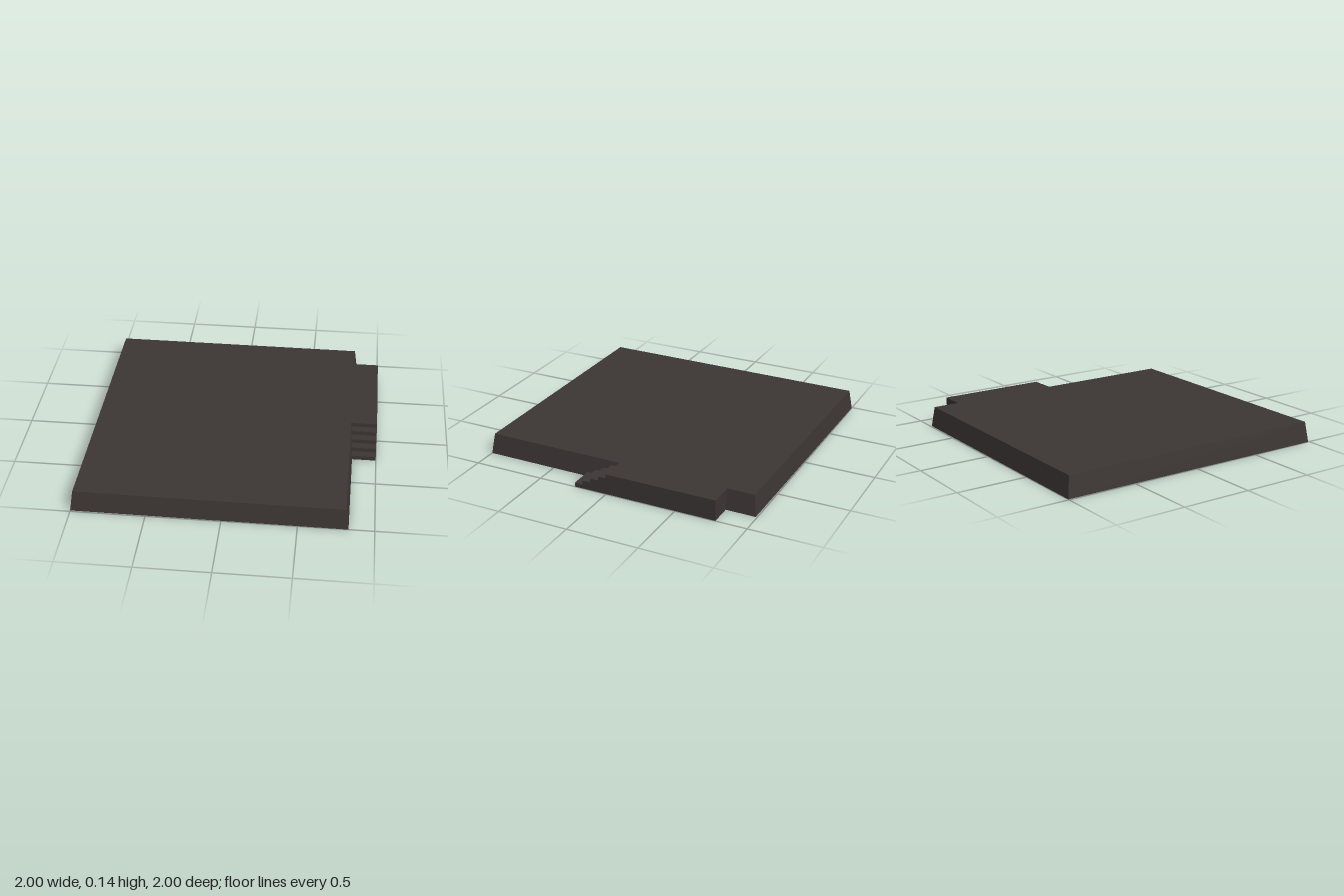
import * as THREE from 'three';

const HEIGHT = 0.145;

// Box whose top is drawn in on every side by a fixed inset
function taperedSlab(w, h, d, inset) {
  const geo = new THREE.BoxGeometry(w, h, d);
  const p = geo.attributes.position;
  for (let i = 0; i < p.count; i++) {
    if (p.getY(i) > 0) {
      p.setX(i, p.getX(i) - Math.sign(p.getX(i)) * inset);
      p.setZ(i, p.getZ(i) - Math.sign(p.getZ(i)) * inset);
    }
  }
  geo.computeVertexNormals();
  return geo.translate(0, h / 2, 0);
}

// Side profile of landing and stairs, drawn in z and y, extruded along x
function landingWithStairs(xInner, xOuter, zBack, zTop, zFoot, risers) {
  const run = (zFoot - zTop) / (risers - 1);
  const rise = HEIGHT / risers;
  const shape = new THREE.Shape();
  shape.moveTo(zBack, 0);
  shape.lineTo(zFoot, 0);
  for (let i = 0; i < risers; i++) {
    const z = zFoot - i * run;
    shape.lineTo(z, (i + 1) * rise);
    if (i < risers - 1) shape.lineTo(z - run, (i + 1) * rise);
  }
  shape.lineTo(zBack, HEIGHT);
  const geo = new THREE.ExtrudeGeometry(shape, { depth: xOuter - xInner, bevelEnabled: false });
  return geo.rotateY(-Math.PI / 2).translate(xOuter, 0, 0);
}

export function createModel() {
  const group = new THREE.Group();
  group.name = 'steppedPlatform';
  const stone = new THREE.MeshStandardMaterial({ color: 0x3c3534 });
  stone.name = 'dark stone';

  // Main slab, turned very slightly about the vertical
  const slab = new THREE.Mesh(taperedSlab(1.832, HEIGHT, 1.99, 0.02), stone);
  slab.name = 'platformSlab';
  slab.position.x = -0.08;
  slab.rotation.y = -0.005;

  // Side landing with steps descending toward the front
  const landing = new THREE.Mesh(landingWithStairs(0.812, 0.998, -0.783, 0, 0.234, 5), stone);
  landing.name = 'sideLandingAndStairs';

  group.add(slab, landing);
  return group;
}
